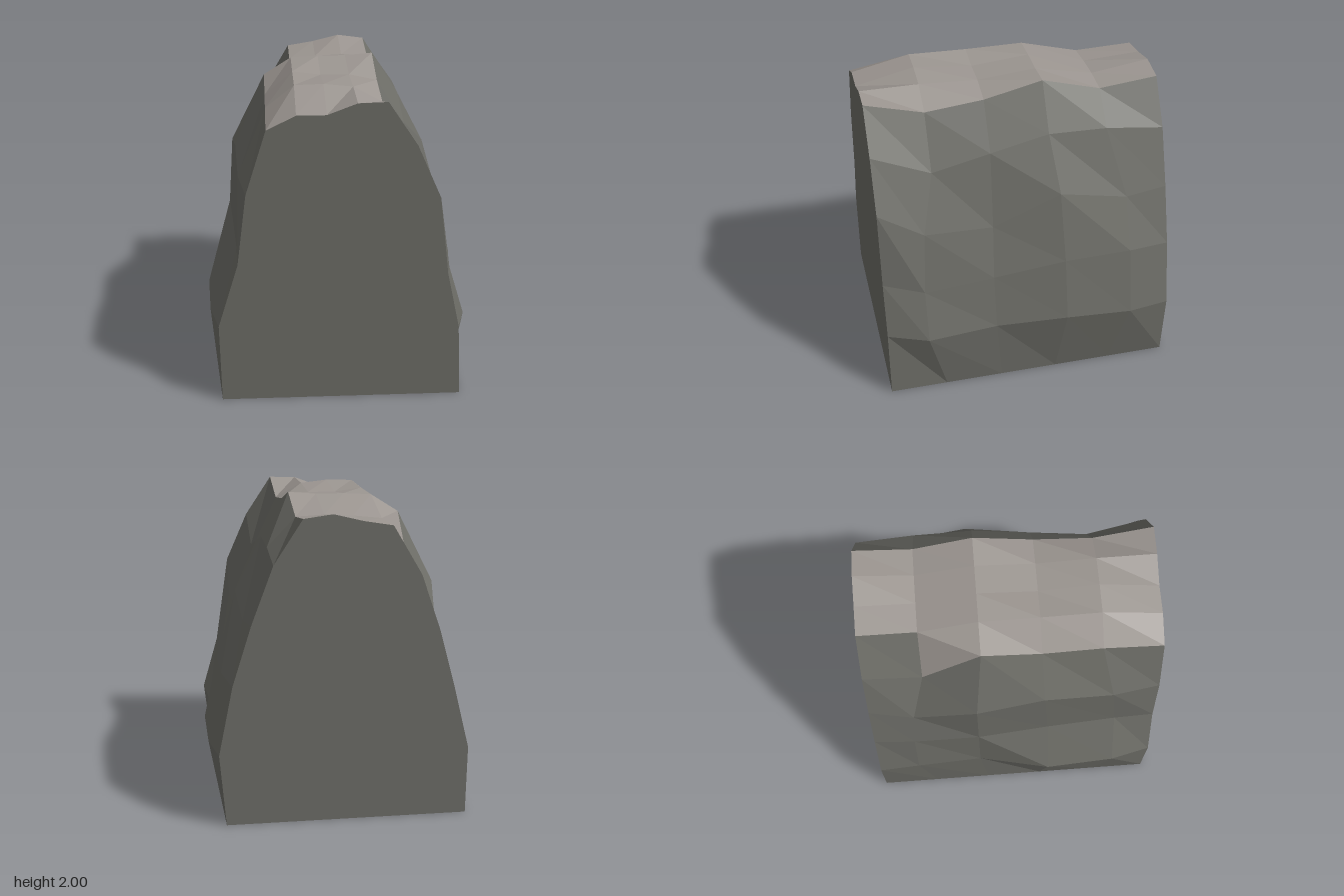
import * as THREE from 'three';

const HALF = 0.955;
// stations run from the front to the back
const Z_TOP = [HALF, 0.573, 0.191, -0.191, -0.573, -HALF];
const Z_SIDE = [HALF, 0.69, 0.23, -0.24, -0.68, -HALF];

// A lengthwise rail; x, y may be one number or one per station
function rail(x, y, z = Z_TOP) {
  const at = (v, k) => (Array.isArray(v) ? v[k] : v);
  return z.map((zk, k) => new THREE.Vector3(at(x, k), at(y, k), zk));
}

// Rails ordered over the ridge from -x to +x
const rails = [
  rail(-0.77, 0),
  rail([-0.78, -0.84, -0.865, -0.76, -0.77, -0.78], [0.52, 0.52, 0.52, 0.5, 0.46, 0.44], Z_SIDE),
  rail([-0.65, -0.66, -0.69, -0.72, -0.7, -0.68], [0.94, 0.95, 0.96, 0.93, 0.86, 0.85], Z_SIDE),
  rail([-0.59, -0.64, -0.66, -0.69, -0.62, -0.58], [1.4, 1.42, 1.48, 1.39, 1.17, 1.22],
    [HALF, 0.65, 0.2, -0.24, -0.66, -HALF]),
  rail(-0.46, [1.81, 1.84, 1.82, 1.86, 1.53, 1.57]),
  rail(-0.277, [1.9, 1.985, 1.975, 1.975, 1.87, 1.88]),
  rail(-0.093, [1.9, 1.99, 1.95, 1.985, 1.89, 1.91]),
  rail(0.093, [1.97, 1.97, 1.95, 1.985, 1.9, 1.955]),
  rail(0.277, [1.975, 1.87, 1.91, 2.0, 1.89, 1.93]),
  rail(0.46, [1.7, 1.53, 1.62, 1.71, 1.7, 1.65]),
  rail([0.61, 0.62, 0.61, 0.64, 0.63, 0.6], [1.36, 1.17, 1.15, 1.36, 1.26, 1.28],
    [HALF, 0.66, 0.21, -0.23, -0.68, -HALF]),
  rail([0.67, 0.72, 0.72, 0.77, 0.77, 0.72], [0.85, 0.78, 0.82, 0.91, 0.92, 0.9], Z_SIDE),
  rail([0.75, 0.82, 0.8, 0.86, 0.86, 0.81], [0.48, 0.45, 0.47, 0.5, 0.47, 0.46], Z_SIDE),
  rail(0.77, 0),
];

// Faceted skin made of the grid cells chosen by pick(rail, station)
function skin(pick) {
  const points = [];
  for (let i = 0; i < rails.length - 1; i++) {
    for (let k = 0; k < Z_TOP.length - 1; k++) {
      if (!pick(i, k)) continue;
      const a = rails[i][k], b = rails[i + 1][k];
      const c = rails[i + 1][k + 1], d = rails[i][k + 1];
      points.push(a, b, c, a, c, d);
    }
  }
  const geometry = new THREE.BufferGeometry().setFromPoints(points);
  geometry.computeVertexNormals();
  return geometry;
}

// Flat end wall cut along one station's outline
function endWall(k) {
  const back = k > 0;
  const outline = rails.map((r) => new THREE.Vector2(back ? -r[k].x : r[k].x, r[k].y));
  const geometry = new THREE.ShapeGeometry(new THREE.Shape(outline));
  if (back) geometry.rotateY(Math.PI);
  return geometry.translate(0, 0, Z_TOP[k]);
}

export function createModel() {
  const stone = new THREE.MeshStandardMaterial({ color: 0x6e6e68, side: THREE.DoubleSide });
  stone.name = 'dark stone';
  const crest = new THREE.MeshStandardMaterial({ color: 0x9c9691, side: THREE.DoubleSide });
  crest.name = 'pale crest stone';

  const group = new THREE.Group();
  group.name = 'rockRidge';
  const add = (name, geometry, material) => {
    const mesh = new THREE.Mesh(geometry, material);
    mesh.name = name;
    group.add(mesh);
  };

  // Pale crest cells; the steep rear corner stays dark
  const isCrest = (i, k) => i >= 4 && i <= 7 && !(i === 4 && k === 4);
  add('crest', skin(isCrest), crest);
  add('slopes', skin((i, k) => !isCrest(i, k)), stone);
  add('frontWall', endWall(0), stone);
  add('backWall', endWall(Z_TOP.length - 1), stone);
  return group;
}
